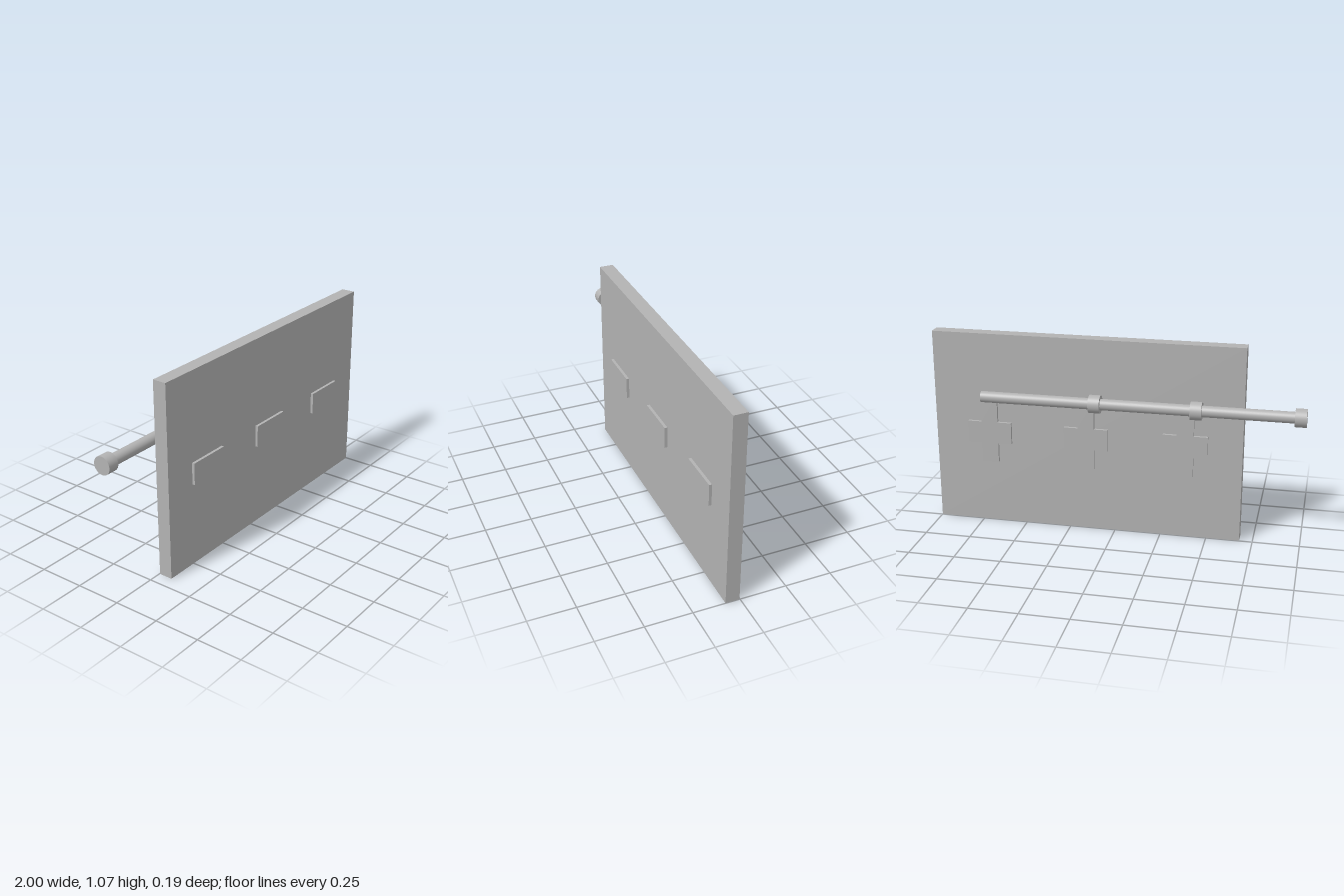
import * as THREE from 'three';

export function createModel() {
  const group = new THREE.Group();
  const grey = new THREE.MeshStandardMaterial({ color: 0xb3b3b3 });
  grey.name = 'plain grey';

  const add = (name, geometry, x, y, z) => {
    const mesh = new THREE.Mesh(geometry, grey);
    mesh.name = name;
    mesh.position.set(x, y, z);
    group.add(mesh);
    return mesh;
  };

  // Upright slab
  const back = 0.003, front = 0.078;
  add('panel', new THREE.BoxGeometry(1.679, 1.068, front - back), 0.16, 0.534, (front + back) / 2);

  // Cross outline, origin at the centre of its arms
  const arm = 0.12, half = 0.06, stem = 0.045, top = 0.213, bottom = -0.168;
  const cross = new THREE.Shape([
    [-stem, bottom], [stem, bottom], [stem, -half], [arm, -half],
    [arm, half], [stem, half], [stem, top], [-stem, top],
    [-stem, half], [-arm, half], [-arm, -half], [-stem, -half],
  ].map(([x, y]) => new THREE.Vector2(x, y)));
  const crossGeometry = new THREE.ExtrudeGeometry(cross, { depth: 0.016, bevelEnabled: false });
  const plateGeometry = new THREE.BoxGeometry(0.24, 0.12, 0.015);

  // Front plates with a cross behind each
  for (const x of [-0.377, 0.158, 0.693]) {
    add('frontPlate', plateGeometry, x, 0.52, front + 0.0075);
    add('backCross', crossGeometry, x, 0.52, back - 0.016);
  }

  // Horizontal bolt rod with its collars and end knob
  const cylinder = (name, radius, x0, x1) => {
    const geometry = new THREE.CylinderGeometry(radius, radius, x1 - x0, 48);
    add(name, geometry, (x0 + x1) / 2, 0.734, -0.045).rotation.z = Math.PI / 2;
  };
  cylinder('rod', 0.03, -0.95, 0.72);
  cylinder('endKnob', 0.048, -1, -0.94);
  cylinder('collar', 0.048, -0.467, -0.407);
  cylinder('collar', 0.048, 0.068, 0.128);

  return group;
}
